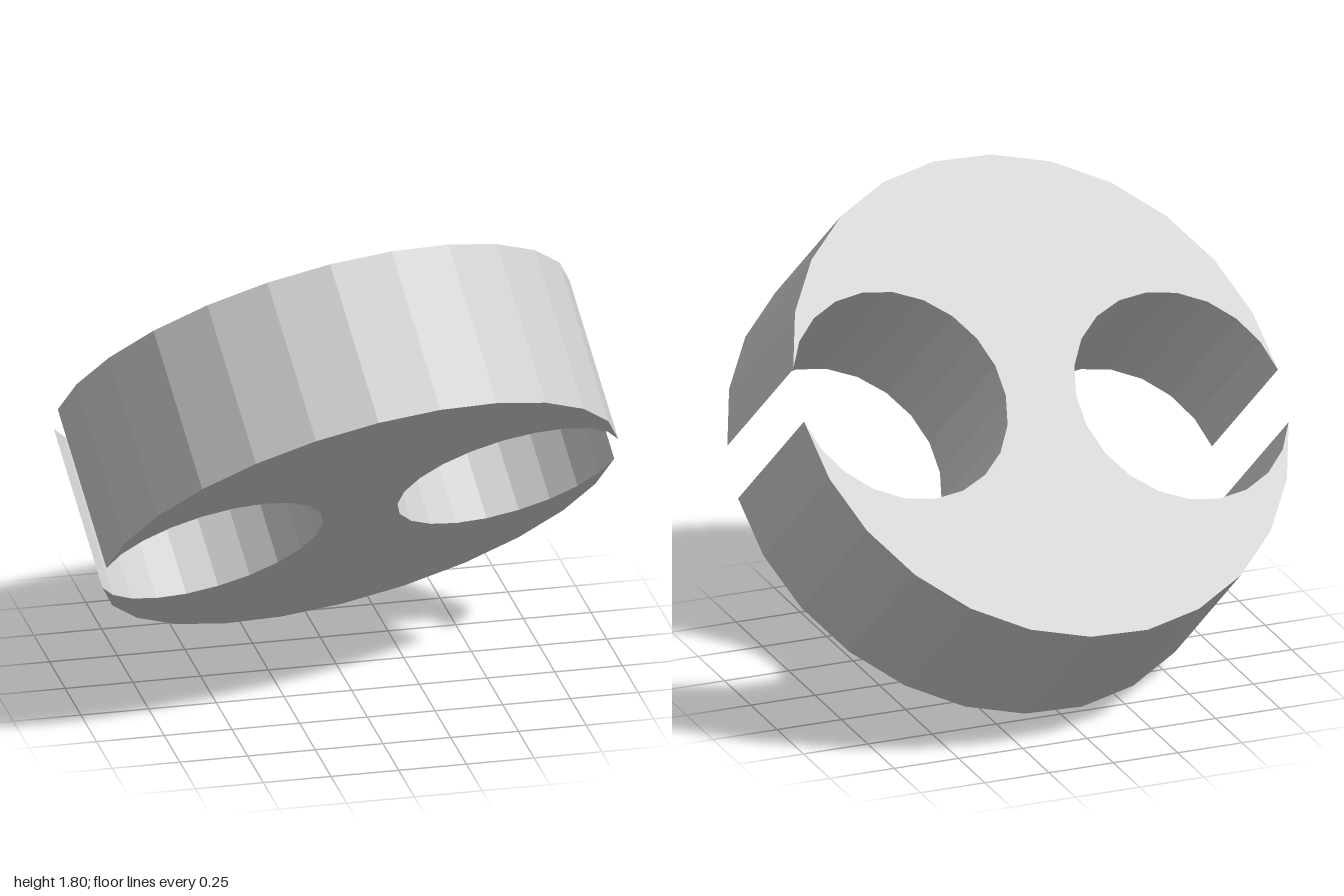
import * as THREE from 'three';

const R = 0.967;        // disc radius
const HOLE_X = 0.557;   // hole centre distance from the axis
const GAP = 0.105;      // half width of the slot where a hole breaks the rim
const DEPTH = 0.627;

// Points along an arc, both ends included
function arc(cx, radius, from, to, segments) {
  const pts = [];
  for (let i = 0; i <= segments; i++) {
    const t = from + (to - from) * i / segments;
    pts.push(new THREE.Vector2(cx + radius * Math.cos(t), radius * Math.sin(t)));
  }
  return pts;
}

export function createModel() {
  const model = new THREE.Group();
  const grey = new THREE.MeshStandardMaterial({ color: 0xcccccc });
  grey.name = 'light grey';

  // Outline: half rim and open hole, then the same turned by half a circle
  const a = Math.asin(GAP / R);
  const reach = R * Math.cos(a) - HOLE_X;
  const holeR = Math.hypot(reach, GAP);
  const b = Math.atan2(GAP, reach);
  const half = [
    ...arc(0, R, a, Math.PI - a, 12),
    ...arc(-HOLE_X, holeR, Math.PI - b, -Math.PI + b, 20).slice(1, -1),
  ];
  const outline = [...half, ...half.map((p) => p.clone().negate())];

  const geometry = new THREE.ExtrudeGeometry(new THREE.Shape(outline), { depth: DEPTH, bevelEnabled: false });
  geometry.translate(0, 0, -DEPTH / 2);

  const disc = new THREE.Mesh(geometry, grey);
  disc.name = 'slottedDisc';

  // Tilt: the disc axis leans up and back, the holes lie along u
  const n = new THREE.Vector3(-0.128, 0.717, -0.686).normalize();
  const u = new THREE.Vector3(0.987, 0.16, -0.016);
  u.addScaledVector(n, -u.dot(n)).normalize();
  const v = new THREE.Vector3().crossVectors(n, u);
  disc.quaternion.setFromRotationMatrix(new THREE.Matrix4().makeBasis(u, v, n));
  disc.position.y = 0.895;
  model.add(disc);
  return model;
}
